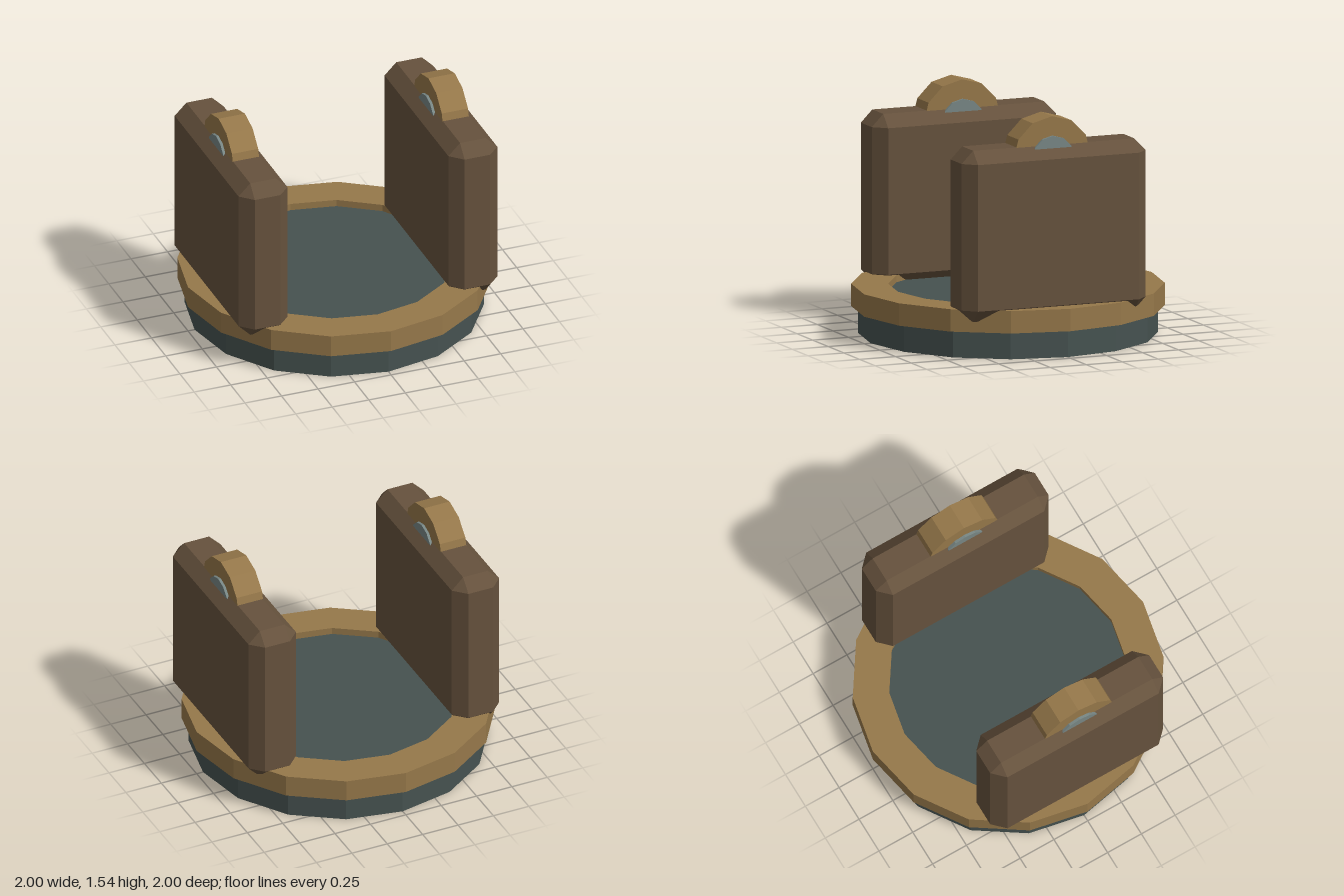
import * as THREE from 'three';
import { ConvexGeometry } from 'three/addons/geometries/ConvexGeometry.js';

const paint = (color) => new THREE.MeshStandardMaterial({ color, flatShading: true });

// Lathe with 16 flat sides from [radius, height] pairs
const lathe = (pairs) =>
  new THREE.LatheGeometry(pairs.map(([r, y]) => new THREE.Vector2(r, y)), 16);

// Box with every edge bevelled by c
function bevelledBox(w, h, d, c) {
  const points = [];
  for (const sx of [-1, 1]) for (const sy of [-1, 1]) for (const sz of [-1, 1]) {
    const x = w / 2, y = h / 2, z = d / 2;
    points.push(
      new THREE.Vector3(sx * x, sy * (y - c), sz * (z - c)),
      new THREE.Vector3(sx * (x - c), sy * y, sz * (z - c)),
      new THREE.Vector3(sx * (x - c), sy * (y - c), sz * z));
  }
  return new ConvexGeometry(points);
}

export function createModel() {
  const model = new THREE.Group();
  const slate = paint(0x465250), brass = paint(0x96784a);
  const wood = paint(0x66523d), steel = paint(0x788785);

  function add(name, geometry, material, parent, x = 0, y = 0, z = 0) {
    const mesh = new THREE.Mesh(geometry, material);
    mesh.name = name;
    mesh.position.set(x, y, z);
    parent.add(mesh);
  }

  // Round base with its raised floor, and the rim around it
  add('base', lathe([[0, 0], [0.955, 0], [0.955, 0.18], [0.765, 0.18], [0.765, 0.275], [0, 0.275]]), slate, model);
  add('rim', lathe([[0.765, 0.175], [1, 0.175], [1, 0.32], [0.765, 0.32], [0.765, 0.27]]), brass, model);

  // Two upright walls, each with a half-sunk wheel and its axle pin
  const wall = bevelledBox(0.335, 1.11, 1.28, 0.08);
  const wheel = new THREE.CylinderGeometry(0.27, 0.27, 0.18, 12).rotateZ(Math.PI / 2);
  const pin = new THREE.CylinderGeometry(0.145, 0.145, 0.215, 12).rotateZ(Math.PI / 2);
  for (const [side, s] of [['left', 1], ['right', -1]]) {
    const support = new THREE.Group();
    support.name = side + 'Support';
    support.position.x = s * 0.718;
    add(side + 'Wall', wall, wood, support, 0, 0.8, 0.033);
    add(side + 'Wheel', wheel, brass, support, 0, 1.27, 0.045);
    add(side + 'AxlePin', pin, steel, support, 0, 1.27, 0.045);
    model.add(support);
  }
  return model;
}
